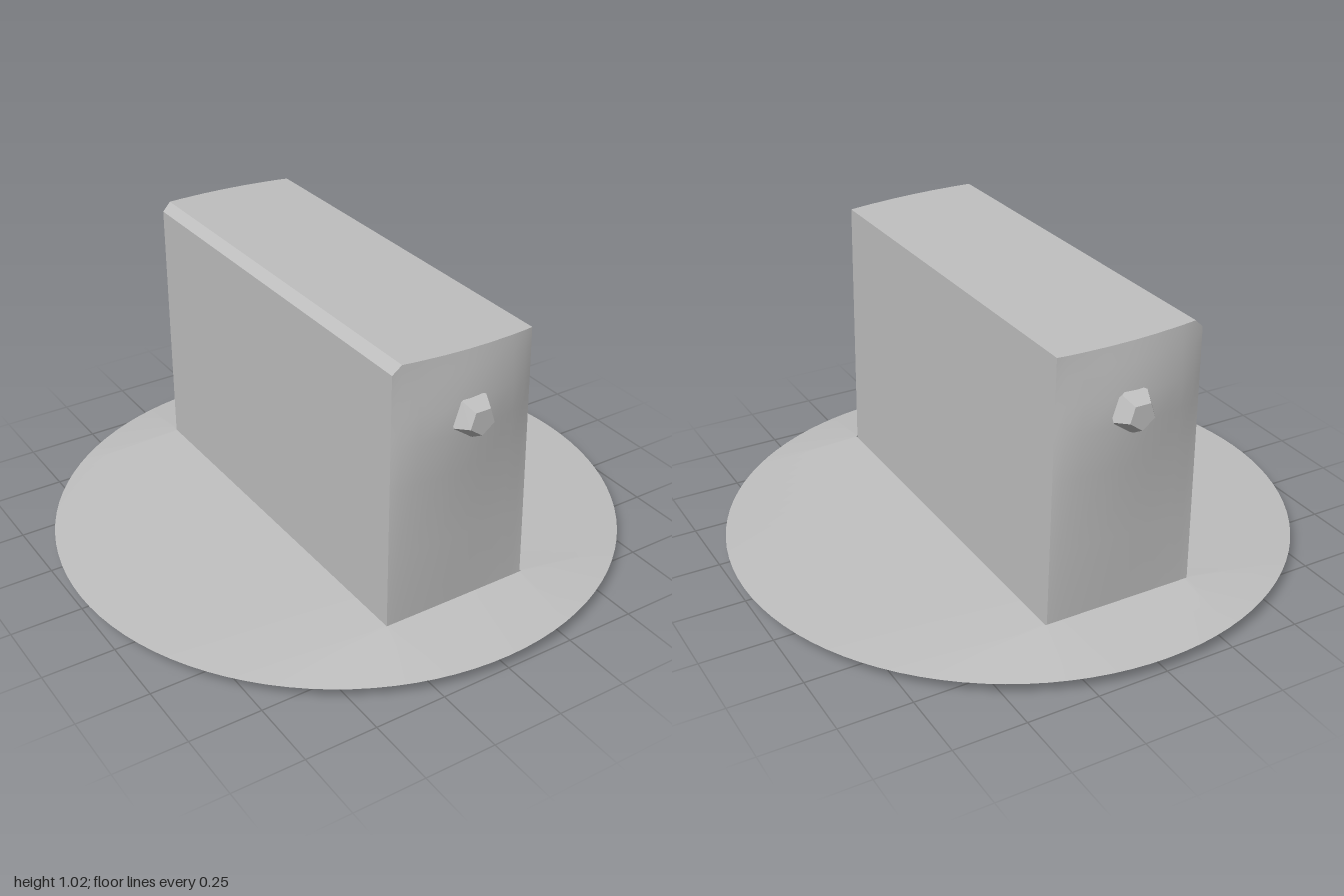
import * as THREE from 'three';
import { toCreasedNormals } from 'three/addons/utils/BufferGeometryUtils.js';

const HALF_X = 0.27, HALF_Z = 0.715;
const clamp = THREE.MathUtils.clamp;

// Thin disc whose top rises from a round rim to the rectangular foot of the block
function baseGeometry() {
  const n = 96;
  const rings = [
    (c, s) => [clamp(c, -HALF_X, HALF_X), 0.09, clamp(s, -HALF_Z, HALF_Z)],
    (c, s) => [c, 0.05, s],
    (c, s) => [c * 0.68, 0, s * 0.68],
    () => [0, 0, 0],
  ];
  const pos = [], index = [];
  rings.forEach((ring, r) => {
    for (let i = 0; i < n; i++) {
      const a = (i / n) * Math.PI * 2;
      pos.push(...ring(Math.cos(a), Math.sin(a)));
      if (r === rings.length - 1) continue;
      const p = r * n + i, q = r * n + (i + 1) % n;
      index.push(p, q + n, p + n, p, q, q + n);
    }
  });
  const geo = new THREE.BufferGeometry();
  geo.setAttribute('position', new THREE.Float32BufferAttribute(pos, 3));
  geo.setIndex(index);
  return toCreasedNormals(geo, 0.4);
}

// Upright slab with bulging ends, one chamfered top edge and one leaning side
function blockGeometry() {
  const cols = [0, 0.06, 0.16, 0.34, 0.5, 0.66, 0.84, 0.94, 1];
  const rows = [0.08, 0.35, 0.6, 0.75, 0.85, 0.95, 1.02];
  const bulge = [0, 0.012, 0.025, 0.043, 0.043, 0.03, 0.02];
  const nx = cols.length - 1, ny = rows.length - 1;
  const geo = new THREE.BoxGeometry(1, 1, 1, nx, ny, 1);
  const p = geo.attributes.position;
  for (let i = 0; i < p.count; i++) {
    const t = cols[Math.round((p.getX(i) + 0.5) * nx)];
    const row = Math.round((p.getY(i) + 0.5) * ny);
    const top = t === 0 ? 0.995 : 1.025 - 0.015 * t;
    const y = row === ny ? top : rows[row];
    const right = 0.267 - 0.023 * y;
    const x = -HALF_X + t * (right + HALF_X);
    const z = HALF_Z + bulge[row] * Math.pow(Math.max(0, Math.sin(Math.PI * t)), 0.8);
    p.setXYZ(i, x, y, Math.sign(p.getZ(i)) * z);
  }
  return toCreasedNormals(geo, 0.55);
}

// Faceted stud with one pentagon facing outward
function studGeometry() {
  return new THREE.DodecahedronGeometry(0.077)
    .rotateY(-Math.atan(2 / (1 + Math.sqrt(5))))
    .rotateZ(-Math.PI / 2);
}

export function createModel() {
  const grey = new THREE.MeshStandardMaterial({ color: 0xbfbfbf });
  grey.name = 'plain grey';
  const model = new THREE.Group();
  model.name = 'slabOnDisc';
  const add = (name, geo) => {
    const mesh = new THREE.Mesh(geo, grey);
    mesh.name = name;
    model.add(mesh);
    return mesh;
  };

  add('base', baseGeometry());
  add('block', blockGeometry());

  // One stud on each end of the block
  const stud = studGeometry();
  add('frontStud', stud).position.set(0, 0.8, 0.744);
  const back = add('backStud', stud);
  back.position.set(0, 0.8, -0.747);
  back.rotation.y = Math.PI;
  return model;
}
